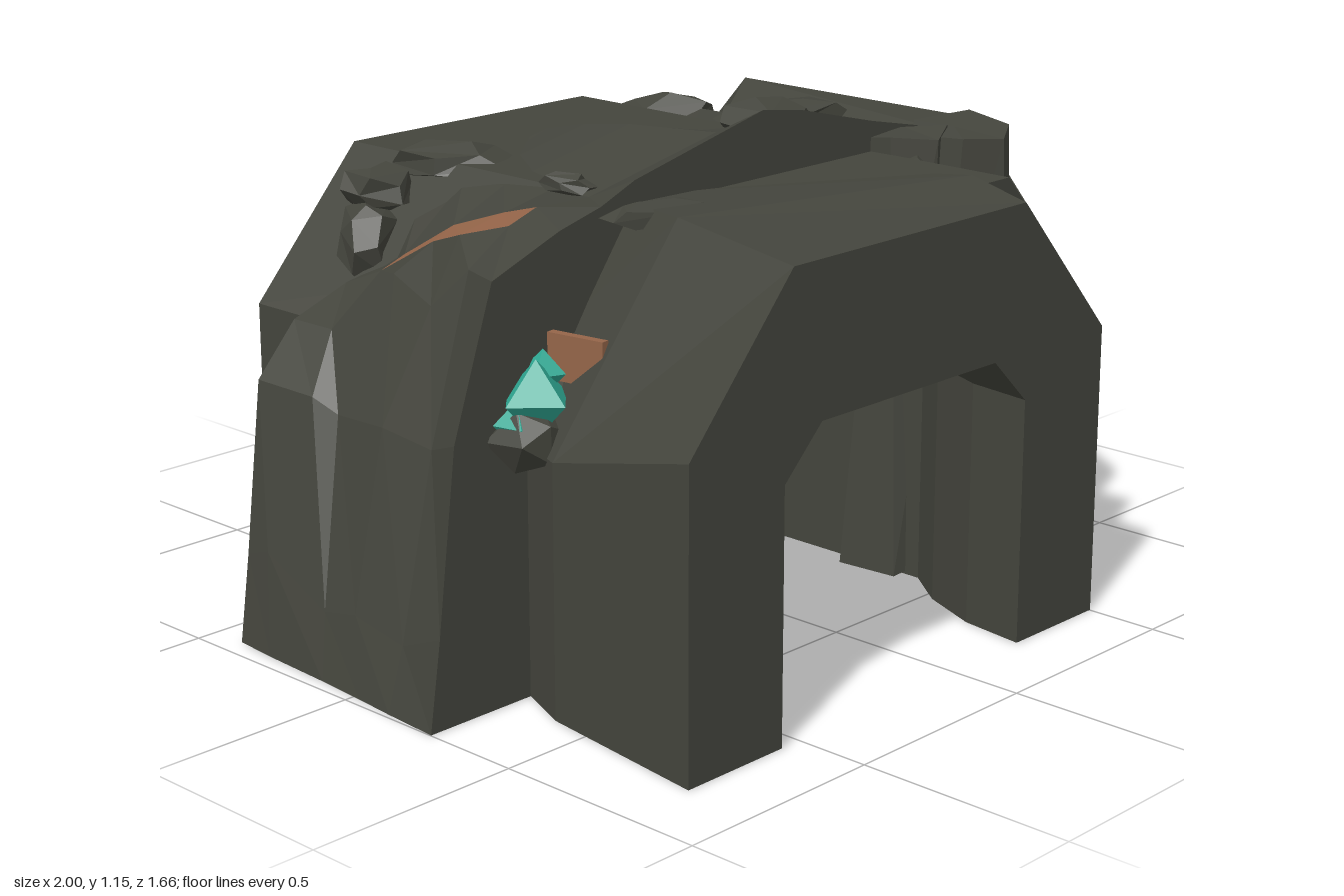
import * as THREE from 'three';

const material = (name, color, side = THREE.FrontSide) => {
  const m = new THREE.MeshStandardMaterial({ color, side });
  m.name = name;
  return m;
};

// Repeatable noise from -1 to 1
function noise(a, b, c, k) {
  const s = Math.sin(a * 12.9 + b * 78.2 + c * 37.7 + k * 9.1) * 4375.85;
  return (s - Math.floor(s) - 0.5) * 2;
}

// Flat facets through unshared corners
function flat(geometry) {
  const g = geometry.index ? geometry.toNonIndexed() : geometry;
  g.computeVertexNormals();
  return g;
}

function signedVolume(p, idx) {
  const [a, b, c] = [0, 1, 2].map(() => new THREE.Vector3());
  let v = 0;
  for (let i = 0; i < idx.length; i += 3) {
    a.fromArray(p, idx[i] * 3); b.fromArray(p, idx[i + 1] * 3); c.fromArray(p, idx[i + 2] * 3);
    v += a.dot(b.cross(c));
  }
  return v;
}

// Joins closed rings; each ring is an outer arch followed by the inner arch in reverse.
// Facets chosen by isVein go into a second material group.
function loftArch(rings, isVein = () => false) {
  const n = rings[0].length, last = (rings.length - 1) * n;
  const plain = [], vein = [];
  for (let j = 0; j < rings.length - 1; j++) for (let i = 0; i < n; i++) {
    const a = j * n + i, b = j * n + (i + 1) % n;
    (isVein(j, i) ? vein : plain).push(a, b, b + n, a, b + n, a + n);
  }
  for (let i = 0; i < n / 2 - 1; i++) {
    const a = i, b = i + 1, c = n - 2 - i, d = n - 1 - i;
    plain.push(a, c, b, a, d, c);
    plain.push(last + a, last + b, last + c, last + a, last + c, last + d);
  }
  const p = rings.flat(2), index = [...plain, ...vein];
  if (signedVolume(p, index) < 0) {
    for (let i = 0; i < index.length; i += 3) [index[i], index[i + 1]] = [index[i + 1], index[i]];
  }
  const g = new THREE.BufferGeometry();
  g.setAttribute('position', new THREE.Float32BufferAttribute(p, 3));
  g.setIndex(index);
  const f = flat(g);
  f.clearGroups();
  f.addGroup(0, plain.length, 0);
  f.addGroup(plain.length, vein.length, 1);
  return f;
}

// Shifts every corner by a repeatable amount based on its position
function roughen(geometry, amount, seed) {
  const p = geometry.attributes.position;
  for (let i = 0; i < p.count; i++) {
    const at = [p.getX(i), p.getY(i), p.getZ(i)];
    const key = at.map(v => Math.round(v * 500));
    p.setXYZ(i, ...at.map((v, k) => v + amount * noise(...key, k + seed * 0.6)));
  }
  return flat(geometry);
}

export function createModel() {
  const rock = material('dark rock', 0x44453d);
  const copper = material('copper ore', 0x956549, THREE.DoubleSide);
  const teal = material('teal crystal', 0x2fa893);
  const group = new THREE.Group();
  const add = (name, geometry, mat, x = 0, y = 0, z = 0, parent = group) => {
    const m = new THREE.Mesh(geometry, mat);
    m.name = name;
    m.position.set(x, y, z);
    parent.add(m);
    return m;
  };

  // Chamfered tunnel section, walls and roof with no floor
  const section = [[-0.665, 0], [-0.665, 0.67], [-0.37, 1], [0.37, 1], [0.665, 0.67], [0.665, 0],
    [0.39, 0], [0.39, 0.56], [0.28, 0.667], [-0.28, 0.667], [-0.39, 0.56], [-0.39, 0]];
  add('straightTunnel', loftArch([-0.665, 0.66].map(z => section.map(([s, y]) => [s, y, z]))), rock);

  // Quarter bend from the front opening to the side opening; its outer shoulder sinks
  // between the ends so the straight tunnel's back opening stays visible above it
  const bend = [];
  for (let k = 0; k <= 6; k++) {
    const t = k * Math.PI / 12, middle = k > 0 && k < 6;
    bend.push(section.map(([s, y], i) => {
      let h = y;
      if (middle && i === 4) h = 0.56;
      if (middle && k > 2 && i === 3) h = 0.69;
      if (k === 1 && (i === 2 || i === 3)) h = 1.03;
      return [0.83 - (0.995 + s) * Math.cos(t), h, 0.83 - (0.995 + s) * Math.sin(t)];
    }));
  }
  add('bentTunnel', loftArch(bend), rock);

  // Craggy rock arch across the middle, with ore running over its roof
  const stations = [0.27, 0.13, 0, -0.14, -0.28, -0.41];
  const drop = [0, 0.07, 0.08, 0.09, 0.11, 0.14];
  const shoulderDrop = [0, -0.04, -0.01, 0.03, 0.1, 0.13];
  const outer = [[-1, 0], [-0.97, 0.2], [-0.92, 0.6], [-0.81, 0.92], [-0.62, 0.99], [-0.53, 1.02], [-0.4, 1.06],
    [0, 1.15], [0.1, 1.13], [0.37, 1.07], [0.56, 1.03], [0.83, 0.83], [0.91, 0.6], [0.97, 0.2], [1, 0]];
  const inner = outer.map(([x, y]) => [x * 0.64, y * 0.72]).reverse();
  const columns = { // veins wander as they cross the roof
    4: [-0.62, -0.63, -0.65, -0.6, -0.63, -0.62],
    5: [-0.5, -0.55, -0.52, -0.54, -0.56, -0.5],
    8: [0.13, 0.27, 0.09, 0.07, 0.1, 0.1],
    9: [0.37, 0.37, 0.37, 0.3, 0.35, 0.36],
  };
  const archRings = stations.map((z, j) => {
    const taper = 1 - 0.01 * j, inside = j > 0 && j < 5;
    const out = outer.map(([x, y], i) => {
      const side = inside && y > 0.1 && y < 0.95;
      let px = columns[i] ? columns[i][j] : x * taper;
      let py = y - drop[j] * Math.max(0, y - 0.55) / 0.6;
      let pz = z;
      if (i >= 3 && i <= 5) py -= shoulderDrop[j];
      if (i === 11 && j > 0) py = 0.69;
      if (i === 10 && j > 0) py = 0.98;
      if (side) {
        px *= 1 - 0.035 * (1 + noise(i, j, 0, 1));
        py += 0.05 * noise(i, j, 0, 2) - 0.02;
      }
      if (inside && y < 0.95) pz += 0.05 * noise(i, j, 0, 3);
      return [px, py, pz];
    });
    return [...out, ...inner.map(([x, y]) => [x, y, z])];
  });
  const isVein = (j, i) => (i === 8 && j < 3) || (i === 4 && j >= 1 && j < 4);
  add('rockArch', loftArch(archRings, isVein), [rock, copper]);

  // Rock columns filling the corner between the two openings
  [[0.56, 0.37, 0.17, 1.06, 6], [0.72, 0.37, 0.12, 0.83, 5], [0.6, 0.53, 0.09, 0.72, 5],
    [0.77, 0.3, 0.1, 0.8, 5], [0.45, 0.3, 0.12, 1.05, 6]].forEach(([x, z, r, h, n], k) => {
    const g = new THREE.CylinderGeometry(r * 0.72, r, h, n, 2);
    const m = add('cornerRock', roughen(g, 0.022, k), rock, x, h / 2, z);
    m.scale.y = h / (h + 0.044);
  });

  // Loose rocks: position, half sizes
  [[0.43, 1.01, -0.1, 0.12, 0.06, 0.11], [0.5, 0.95, -0.5, 0.09, 0.07, 0.13], [-0.32, 0.99, -0.38, 0.16, 0.05, 0.1],
    [-0.48, 0.94, -0.46, 0.08, 0.06, 0.09], [-0.53, 0.83, -0.44, 0.08, 0.1, 0.07], [-0.4, 1.02, 0.07, 0.07, 0.025, 0.03],
    [-0.4, 1, 0.34, 0.14, 0.03, 0.06], [0.87, 0.05, 0.31, 0.04, 0.05, 0.04], [0.89, 0.15, -0.2, 0.04, 0.05, 0.04],
    [0.6, 0.98, -0.2, 0.18, 0.05, 0.08],
  ].forEach(([x, y, z, sx, sy, sz], k) => {
    const m = add('looseRock', roughen(new THREE.DodecahedronGeometry(1), 0.12, k), rock, x, y, z);
    m.scale.set(sx, sy, sz);
    m.rotation.y = k;
  });

  // Ore showing on the outer wall and above the corner rocks
  const wallOre = add('wallOre', new THREE.BoxGeometry(0.24, 0.07, 0.009), copper, -0.092, 0.51, -0.542);
  wallOre.rotation.y = 0.655;
  const cornerOre = add('cornerOre', flat(new THREE.OctahedronGeometry(0.07)), copper, 0.585, 0.77, 0.48);
  cornerOre.scale.set(0.5, 1, 0.5);

  // Ore boulder: rounded rock, ore bands, spike, skirt and crystals
  const boulder = new THREE.Group();
  boulder.name = 'oreBoulder';
  boulder.position.set(0.03, 0, -0.02);
  group.add(boulder);
  add('boulderBody', roughen(new THREE.IcosahedronGeometry(0.163, 1), 0.006, 3), rock, 0, 0.17, 0, boulder);
  [[-0.5, 1.2, 0.95], [0.1, 0.9, 1.3], [-0.9, 0.7, 1.6], [2.2, 1.3, 1.1], [3.6, 1.1, 1.5]].forEach(([a, len, t]) =>
    add('oreBand', flat(new THREE.SphereGeometry(0.172, 4, 1, a + Math.PI / 2, len, t, 0.24)), copper, 0, 0.17, 0, boulder));
  add('oreSkirt', flat(new THREE.CylinderGeometry(0.12, 0.18, 0.06, 7, 1, true)), copper, 0, 0.03, 0, boulder);
  add('oreSpike', flat(new THREE.ConeGeometry(0.05, 0.25, 4)), copper, 0, 0.375, -0.03, boulder);
  for (const a of [0, 2.25, 3.25]) {
    const c = add('crystal', flat(new THREE.OctahedronGeometry(0.045)), teal, Math.sin(a) * 0.155, 0.145, Math.cos(a) * 0.155, boulder);
    c.scale.y = 1.9;
    c.rotation.y = a;
  }

  // Crystal cluster wedged between the bend's shoulder and the rock arch
  add('shoulderRock', roughen(new THREE.IcosahedronGeometry(0.08, 0), 0.008, 2), rock, -0.755, 0.59, 0.31);
  [[-0.73, 0.665, 0.31, 0.085], [-0.775, 0.62, 0.3, 0.05], [-0.69, 0.71, 0.29, 0.05]].forEach(([x, y, z, r], k) => {
    add('shoulderCrystal', flat(new THREE.OctahedronGeometry(r)), teal, x, y, z).rotation.y = k;
  });
  add('shoulderOre', new THREE.BoxGeometry(0.02, 0.1, 0.14), copper, -0.65, 0.74, 0.35).rotation.y = 0.15;

  return group;
}
